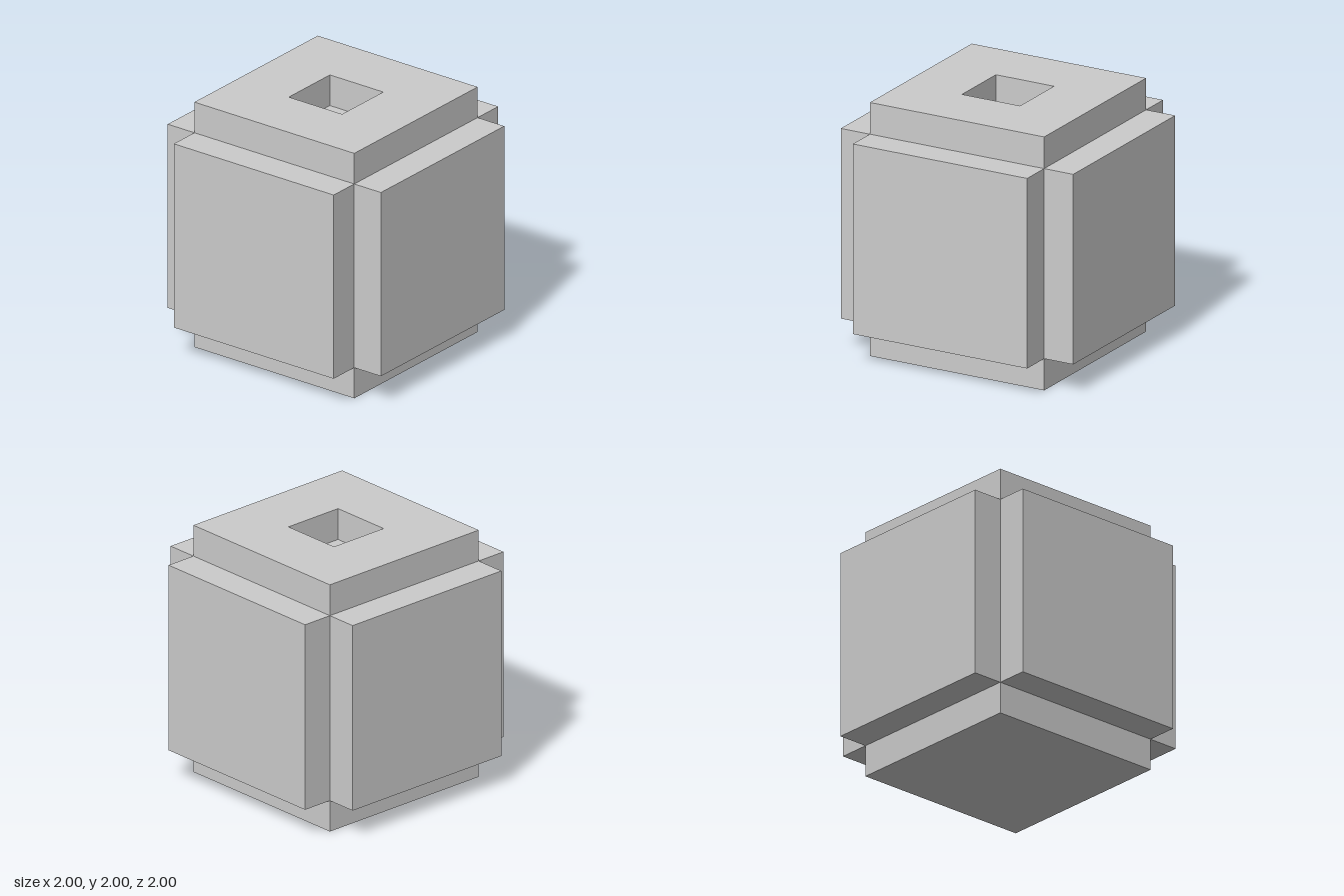
import * as THREE from 'three';

const CORE = 1.5;  // edge of the central cube
const SLAB = 0.25; // thickness of each face plate
const HOLE = 0.5;  // edge of the square socket in the top

export function createModel() {
  const group = new THREE.Group();
  const material = new THREE.MeshStandardMaterial({ color: 0xcccccc, flatShading: true });

  const add = (name, geometry, x, y, z) => {
    const mesh = new THREE.Mesh(geometry, material);
    mesh.name = name;
    mesh.position.set(x, y, z);
    group.add(mesh);
    return mesh;
  };

  // Central cube; its top is the floor of the socket
  add('core', new THREE.BoxGeometry(CORE, CORE, CORE), 0, 1, 0);

  // Plain plates on the sides and the bottom
  const offset = (CORE + SLAB) / 2;
  const plates = {
    leftPlate: [1, 0, 0],
    rightPlate: [-1, 0, 0],
    frontPlate: [0, 0, 1],
    backPlate: [0, 0, -1],
    bottomPlate: [0, -1, 0],
  };
  for (const [name, dir] of Object.entries(plates)) {
    const size = dir.map((d) => (d ? SLAB : CORE));
    const [x, y, z] = dir.map((d) => d * offset);
    add(name, new THREE.BoxGeometry(...size), x, 1 + y, z);
  }

  // Top plate with a square socket through it
  const square = (Type, size) => {
    const h = size / 2;
    return new Type([[-h, -h], [h, -h], [h, h], [-h, h]].map(([x, y]) => new THREE.Vector2(x, y)));
  };
  const outline = square(THREE.Shape, CORE);
  outline.holes.push(square(THREE.Path, HOLE));
  const topPlate = new THREE.ExtrudeGeometry(outline, { depth: SLAB, bevelEnabled: false });
  topPlate.rotateX(-Math.PI / 2);
  add('topPlate', topPlate, 0, 1 + CORE / 2, 0);

  return group;
}
